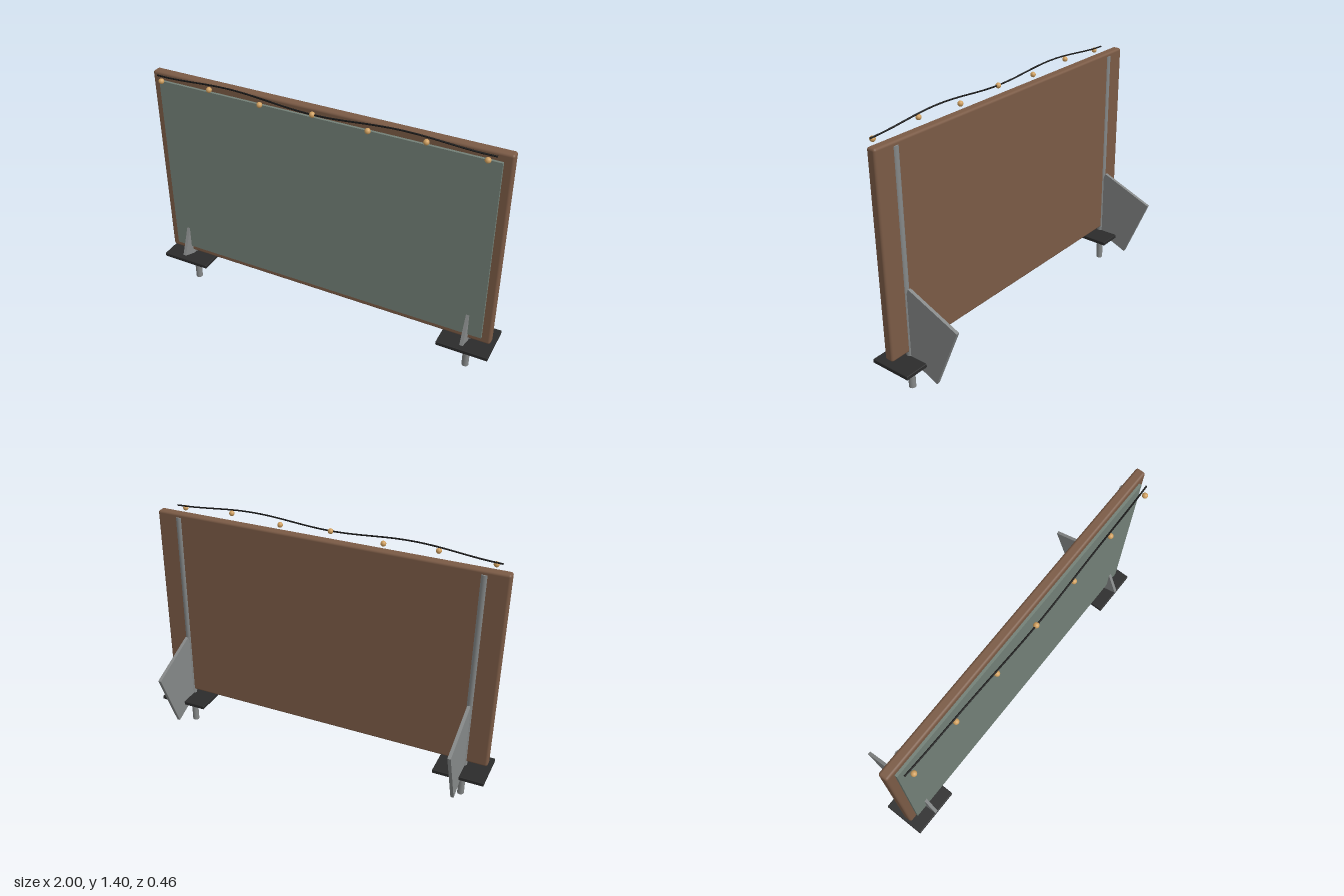
import * as THREE from 'three';
import { RoundedBoxGeometry } from 'three/addons/geometries/RoundedBoxGeometry.js';

const mat = (color) => new THREE.MeshStandardMaterial({ color });

export function createModel() {
  const group = new THREE.Group();
  const wood = mat(0x7a5a45), green = mat(0x727f76), steel = mat(0x858888);
  const dark = mat(0x2b2b2b), black = mat(0x151515), amber = mat(0xd0a060);

  const add = (name, geometry, material, x, y, z) => {
    const mesh = new THREE.Mesh(geometry, material);
    mesh.name = name;
    mesh.position.set(x, y, z);
    group.add(mesh);
    return mesh;
  };

  // Wooden board with softened edges and the writing panel on its front
  add('boardFrame', new RoundedBoxGeometry(1.97, 1.137, 0.053, 3, 0.013), wood, 0, 0.793, 0.124);
  add('writingPanel', new THREE.BoxGeometry(1.876, 1.053, 0.016), green, 0, 0.792, 0.157);

  // Post, foot plate and slanted brace at each end
  for (const [side, s] of [['left', 1], ['right', -1]]) {
    add(side + 'Post', new THREE.CylinderGeometry(0.019, 0.019, 1.34, 20), steel, s * 0.855, 0.67, 0.108);
    add(side + 'FootPlate', new RoundedBoxGeometry(0.285, 0.022, 0.24, 2, 0.004), dark, s * 0.8575, 0.19, 0.105);
    const brace = add(side + 'Brace', new THREE.BoxGeometry(0.018, 0.39, 0.336), steel, s * 0.855, 0.352, 0);
    brace.rotation.x = -0.393;
  }

  // Light string: wavy cord, bowed forward in the middle
  const points = [];
  for (let i = 0; i <= 24; i++) {
    const t = i / 12 - 1;
    const wave = (1 - Math.cos(t * Math.PI * 2)) / 2;
    points.push(new THREE.Vector3(t * 0.92, 1.367 + 0.027 * wave, 0.22 - 0.022 * t * t));
  }
  add('cord', new THREE.TubeGeometry(new THREE.CatmullRomCurve3(points), 80, 0.0045, 8), black, 0, 0, 0);

  // Bulbs hanging alternately lower and higher
  const bulb = new THREE.SphereGeometry(0.015, 20, 14);
  for (let i = 0; i < 7; i++) {
    add('bulb' + (i + 1), bulb, amber, (i - 3) * 0.294, i % 2 ? 1.366 : 1.35, 0.219);
  }
  return group;
}
